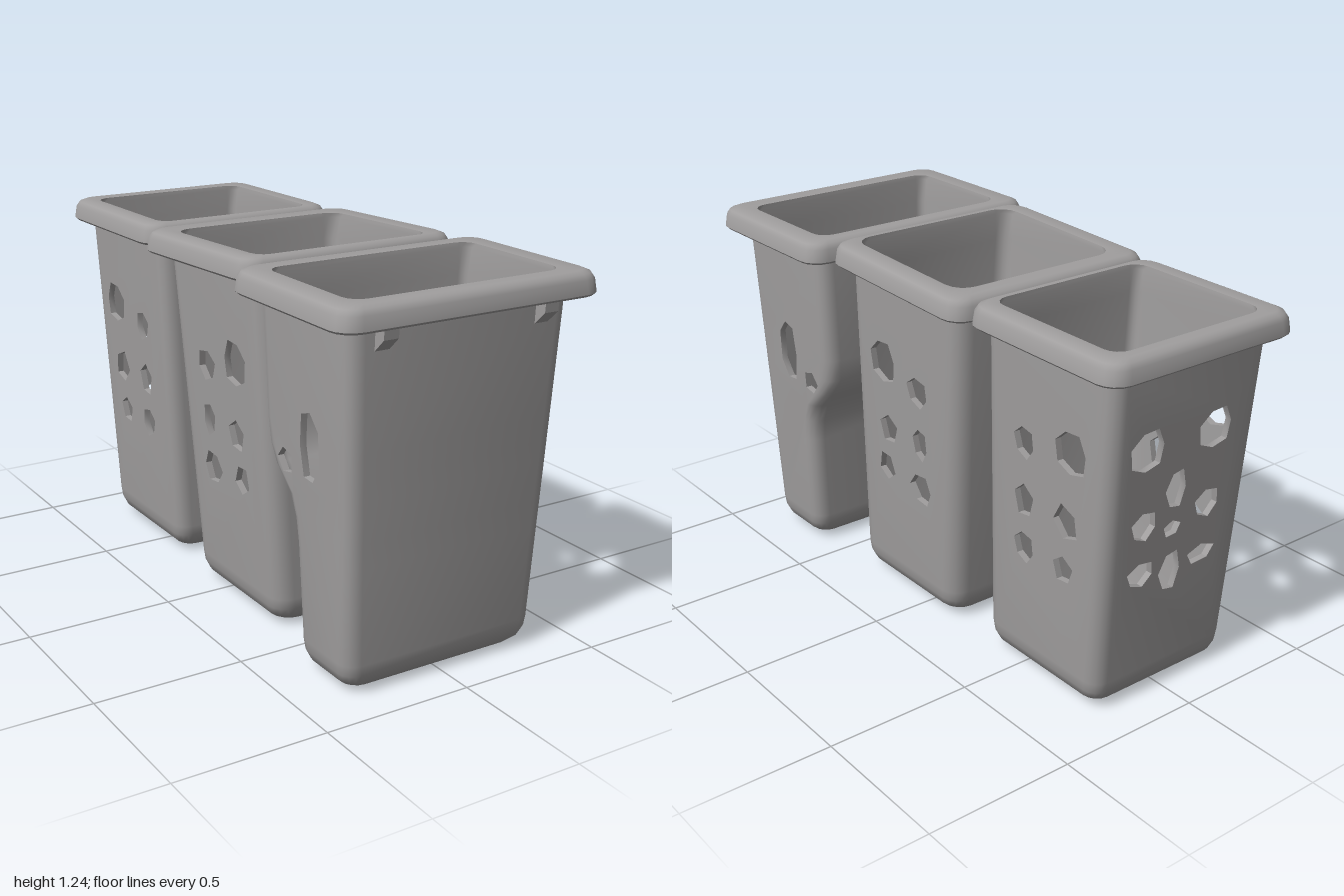
import * as THREE from 'three';
import { toCreasedNormals } from 'three/addons/utils/BufferGeometryUtils.js';

const K = 4;          // segments per rounded corner
const WALL = 0.022;   // wall thickness

// Rounded-rectangle ring, clockwise seen from above, starting at +x
function ring(y, zf, zb, w, r, tilt = 0) {
  const pts = [], mid = (zf + zb) / 2;
  const corners = [[w - r, zf - r], [r - w, zf - r], [r - w, zb + r], [w - r, zb + r]];
  corners.forEach(([cx, cz], c) => {
    for (let k = 0; k <= K; k++) {
      const a = (c + k / K) * Math.PI / 2;
      const z = cz + Math.sin(a) * r;
      pts.push(new THREE.Vector3(cx + Math.cos(a) * r, y + tilt * (z - mid), z));
    }
  });
  return pts;
}

// Irregular polygon hole: centre, radii, number of sides, rotation
function hole([a, y, rx, ry = rx, n = 6, rot = 0.3]) {
  return Array.from({ length: n }, (_, i) => {
    const t = rot + (i / n) * Math.PI * 2;
    const k = i % 2 ? 0.92 : 1.05;
    return new THREE.Vector2(a + Math.cos(t) * rx * k, y + Math.sin(t) * ry * k);
  });
}

// Body dimensions [zf, zb, w] at height y, from levels [y, zf, zb, w]
function bodyAt(levels, y) {
  let i = 0;
  while (i < levels.length - 2 && y > levels[i + 1][0]) i++;
  const [p, q] = [levels[i], levels[i + 1]];
  const t = THREE.MathUtils.clamp((y - p[0]) / (q[0] - p[0]), 0, 1);
  return [1, 2, 3].map((k) => p[k] + (q[k] - p[k]) * t);
}

function makeBin({ levels, r, rim, rimY, tilt = 0, sideHoles, backHoles = [] }) {
  const tris = [];
  const tri = (a, b, c) => tris.push(a, b, c);
  const bodyRing = (y, inset, radius, t = 0) => {
    const [zf, zb, w] = bodyAt(levels, y);
    return ring(y, zf - inset, zb + inset, w - inset, radius, t);
  };
  const rimRing = (y, inset) => ring(y, rim[0] - inset, rim[1] + inset, rim[2] - inset, 0.07 - inset * 0.5, tilt);
  const ys = levels.map((l) => l[0]);
  const top = rimY + 0.075;

  // Rings run up the outside, over the rim and down the inside
  const rings = [
    bodyRing(0.002, 0.075, r), bodyRing(0.012, 0.04, r), bodyRing(0.035, 0.016, r), bodyRing(0.065, 0.004, r),
  ];
  const outer = rings.length;
  ys.forEach((y) => rings.push(bodyRing(y, 0, r)));
  rings.push(
    bodyRing(rimY + 0.012, 0, r, tilt), rimRing(rimY + 0.012, 0.016), rimRing(rimY, 0.008), rimRing(rimY + 0.008, 0),
    rimRing(rimY + 0.05, 0.006), rimRing(rimY + 0.067, 0.016), rimRing(top, 0.034),
    bodyRing(top - 0.003, WALL - 0.004, r, tilt), bodyRing(top - 0.018, WALL, r - WALL, tilt),
  );
  const inner = rings.length;
  [...ys].reverse().forEach((y) => rings.push(bodyRing(y, WALL, r - WALL)));
  rings.push(bodyRing(0.05, WALL + 0.016, r - WALL), bodyRing(0.03, WALL + 0.05, r - WALL));

  const n = ys.length, count = rings[0].length;
  const panelEdges = [2 * (K + 1) - 1, count - 1];
  if (backHoles.length) panelEdges.push(3 * (K + 1) - 1);
  for (let s = 0; s < rings.length - 1; s++) {
    const inPanel = (s >= outer && s < outer + n - 1) || (s >= inner && s < inner + n - 1);
    for (let i = 0; i < count; i++) {
      if (inPanel && panelEdges.includes(i)) continue;
      const j = (i + 1) % count, A = rings[s], B = rings[s + 1];
      tri(A[j], A[i], B[i]);
      tri(A[j], B[i], B[j]);
    }
  }

  // Underside and floor
  const cap = (pts, up) => {
    const c = pts.reduce((m, p) => m.add(p), new THREE.Vector3()).divideScalar(count);
    pts.forEach((p, i) => {
      const q = pts[(i + 1) % count];
      up ? tri(c, q, p) : tri(c, p, q);
    });
  };
  cap(rings[0], false);
  cap(rings[rings.length - 1], true);

  // Perforated double-skin panel; place(p, inset) maps panel points into space
  const panel = (contour, holes, place, flip) => {
    const all = [contour, ...holes].flat();
    for (const f of THREE.ShapeUtils.triangulateShape(contour, holes)) {
      const ccw = THREE.ShapeUtils.area(f.map((i) => all[i])) > 0;
      const [a, b, c] = ccw !== flip ? f : [f[0], f[2], f[1]];
      tri(place(all[a], 0), place(all[b], 0), place(all[c], 0));
      tri(place(all[a], WALL), place(all[c], WALL), place(all[b], WALL));
    }
    for (const h of holes) h.forEach((p, i) => {
      const q = h[(i + 1) % h.length];
      const [u, v] = flip ? [q, p] : [p, q];
      tri(place(u, 0), place(v, 0), place(v, WALL));
      tri(place(u, 0), place(v, WALL), place(u, WALL));
    });
  };
  const V2 = (a, b) => new THREE.Vector2(a, b);
  const sideOutline = [
    ...levels.map((l) => V2(l[2] + r, l[0])).reverse(),
    ...levels.map((l) => V2(l[1] - r, l[0])),
  ];
  for (const s of [1, -1]) {
    panel(sideOutline, sideHoles.map(hole),
      (p, inset) => new THREE.Vector3(s * (bodyAt(levels, p.y)[2] - inset), p.y, p.x), s > 0);
  }
  if (backHoles.length) {
    const backOutline = [
      ...levels.map((l) => V2(r - l[3], l[0])).reverse(),
      ...levels.map((l) => V2(l[3] - r, l[0])),
    ];
    panel(backOutline, backHoles.map(hole),
      (p, inset) => new THREE.Vector3(p.x, p.y, bodyAt(levels, p.y)[1] + inset), true);
  }
  return toCreasedNormals(new THREE.BufferGeometry().setFromPoints(tris), 0.75);
}

export function createModel() {
  const group = new THREE.Group();
  const grey = new THREE.MeshStandardMaterial({ color: 0xa09e9e });
  grey.name = 'greyPlastic';
  const add = (name, geometry) => {
    const mesh = new THREE.Mesh(geometry, grey);
    mesh.name = name;
    group.add(mesh);
    return mesh;
  };

  // Wide front bin with a stepped back wall
  add('frontBin', makeBin({
    levels: [
      [0.1, 0.877, 0.597, 0.353], [0.42, 0.892, 0.588, 0.365], [0.5, 0.896, 0.578, 0.368],
      [0.57, 0.9, 0.55, 0.37], [0.64, 0.903, 0.475, 0.373], [0.7, 0.906, 0.444, 0.375],
      [0.78, 0.91, 0.433, 0.378], [1.13, 0.927, 0.43, 0.391],
    ],
    r: 0.052, rim: [1.0, 0.37, 0.463], rimY: 1.16,
    sideHoles: [[0.7, 0.75, 0.055, 0.12, 7, 0.5], [0.562, 0.668, 0.042, 0.045, 5, 0.6]],
  }));

  // Middle bin, leaning back to front
  add('middleBin', makeBin({
    levels: [[0.1, 0.383, -0.17, 0.295], [1.13, 0.347, -0.262, 0.337]],
    r: 0.065, rim: [0.37, -0.335, 0.402], rimY: 1.158, tilt: 0.036,
    sideHoles: [
      [0.17, 0.86, 0.07, 0.08, 7], [-0.02, 0.81, 0.058, 0.055], [0.16, 0.615, 0.05, 0.057, 5],
      [-0.02, 0.62, 0.04, 0.06, 6], [0.185, 0.465, 0.045, 0.055, 5, 0.9], [-0.01, 0.45, 0.06, 0.058, 6, 0],
    ],
  }));

  // Rear bin, perforated on the sides and the back
  add('rearBin', makeBin({
    levels: [[0.1, -0.333, -0.868, 0.28], [1.13, -0.362, -0.943, 0.312]],
    r: 0.052, rim: [-0.335, -1.0, 0.372], rimY: 1.148, tilt: 0.008,
    sideHoles: [
      [-0.545, 0.82, 0.048, 0.055], [-0.76, 0.86, 0.07, 0.075, 7], [-0.54, 0.62, 0.045, 0.062, 5],
      [-0.735, 0.62, 0.055, 0.062, 5, 1.2], [-0.535, 0.455, 0.048, 0.055], [-0.72, 0.455, 0.045, 0.05, 5],
    ],
    backHoles: [
      [0.155, 0.885, 0.068, 0.072, 7], [-0.12, 0.885, 0.068, 0.07, 7], [0.02, 0.72, 0.042, 0.07, 6, 0],
      [0.14, 0.63, 0.052], [-0.12, 0.63, 0.052], [0.02, 0.585, 0.035, 0.03, 5],
      [0.135, 0.46, 0.055, 0.045], [0.01, 0.43, 0.045, 0.075, 6, 0], [-0.12, 0.45, 0.058, 0.035, 5],
    ],
  }));

  // Pair of small hooks under the front rim
  const hook = new THREE.Shape([[0.915, 1.175], [0.972, 1.175], [0.968, 1.125], [0.92, 1.08]]
    .map(([z, y]) => new THREE.Vector2(-z, y)));
  const hookGeometry = new THREE.ExtrudeGeometry(hook, { depth: 0.05, bevelEnabled: false });
  hookGeometry.translate(0, 0, -0.025).rotateY(Math.PI / 2);
  for (const s of [1, -1]) add(s > 0 ? 'leftHook' : 'rightHook', hookGeometry).position.x = s * 0.283;

  return group;
}
